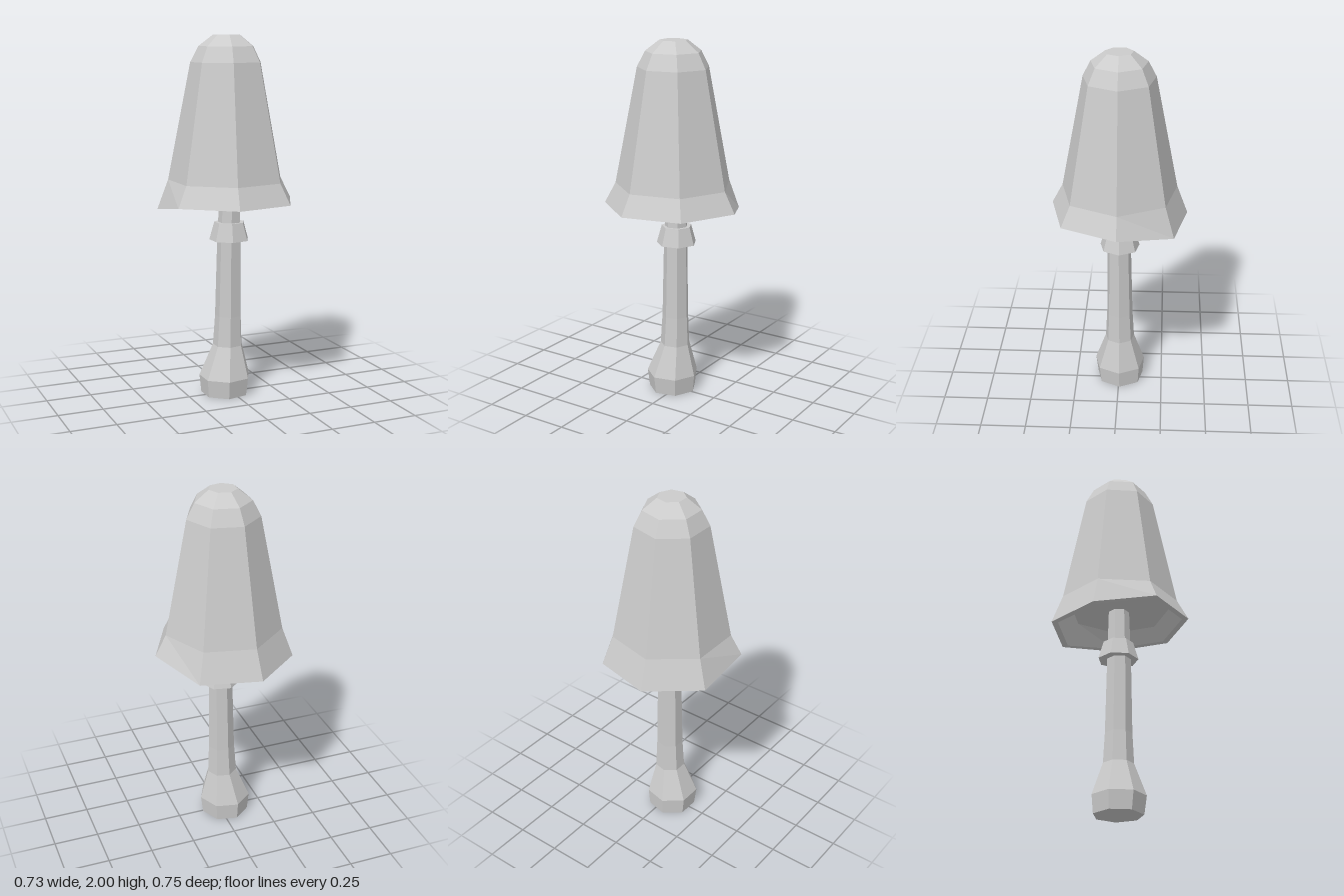
import * as THREE from 'three';

const SIDES = 7;
const material = new THREE.MeshStandardMaterial({ color: 0xcccccc, flatShading: true });

// Seven-sided loft. Each ring is [y, radius, centreX, droop, centreZ], listed from the
// top down the outside; a radius of 0 closes the end. Droop lowers the back corners.
function loft(name, rings) {
  const point = ([y, r, cx = 0, droop = 0, cz = 0], k) => {
    const a = ((k % SIDES) / SIDES) * Math.PI * 2;
    const back = Math.sin(a) < -0.01 ? droop : 0;
    return [cx + r * Math.cos(a), y - back, cz + r * Math.sin(a)];
  };
  const positions = [];
  for (let i = 0; i < rings.length - 1; i++) {
    const upper = rings[i], lower = rings[i + 1];
    for (let k = 0; k < SIDES; k++) {
      const u0 = point(upper, k), u1 = point(upper, k + 1);
      const l0 = point(lower, k), l1 = point(lower, k + 1);
      if (upper[1] > 0) positions.push(...u0, ...u1, ...l0);
      if (lower[1] > 0) positions.push(...u1, ...l1, ...l0);
    }
  }
  const geometry = new THREE.BufferGeometry();
  geometry.setAttribute('position', new THREE.Float32BufferAttribute(positions, 3));
  geometry.computeVertexNormals();
  const mesh = new THREE.Mesh(geometry, material);
  mesh.name = name;
  return mesh;
}

export function createModel() {
  const group = new THREE.Group();
  group.name = 'mushroom';

  // Bell-shaped cap with a drooping back rim and a hollow underside
  group.add(loft('cap', [
    [2.0, 0, -0.02],
    [2.0, 0.077, -0.02],
    [1.94, 0.155, -0.02],
    [1.855, 0.199, -0.02],
    [1.215, 0.325, -0.02],
    [1.1, 0.386, -0.02, 0.05],
    [1.1, 0.35, -0.02, 0.05],
    [1.17, 0.28, -0.02],
    [1.17, 0, -0.02],
  ]));

  // Slender stem with a bulbous foot
  group.add(loft('stem', [
    [1.18, 0, 0],
    [1.18, 0.058, 0],
    [0.88, 0.067, -0.007],
    [0.45, 0.075, -0.011, 0, -0.003],
    [0.28, 0.084, -0.014, 0, -0.004],
    [0.1, 0.146, -0.031, 0, -0.003],
    [0, 0.135, -0.031, 0, -0.006],
    [0, 0, -0.031, 0, -0.006],
  ]));

  // Flared collar around the stem
  group.add(loft('collar', [
    [0.98, 0, -0.004, 0, -0.004],
    [0.98, 0.084, -0.004, 0, -0.004],
    [0.88, 0.112, -0.004, 0, -0.004],
    [0.88, 0, -0.004, 0, -0.004],
  ]));

  return group;
}
